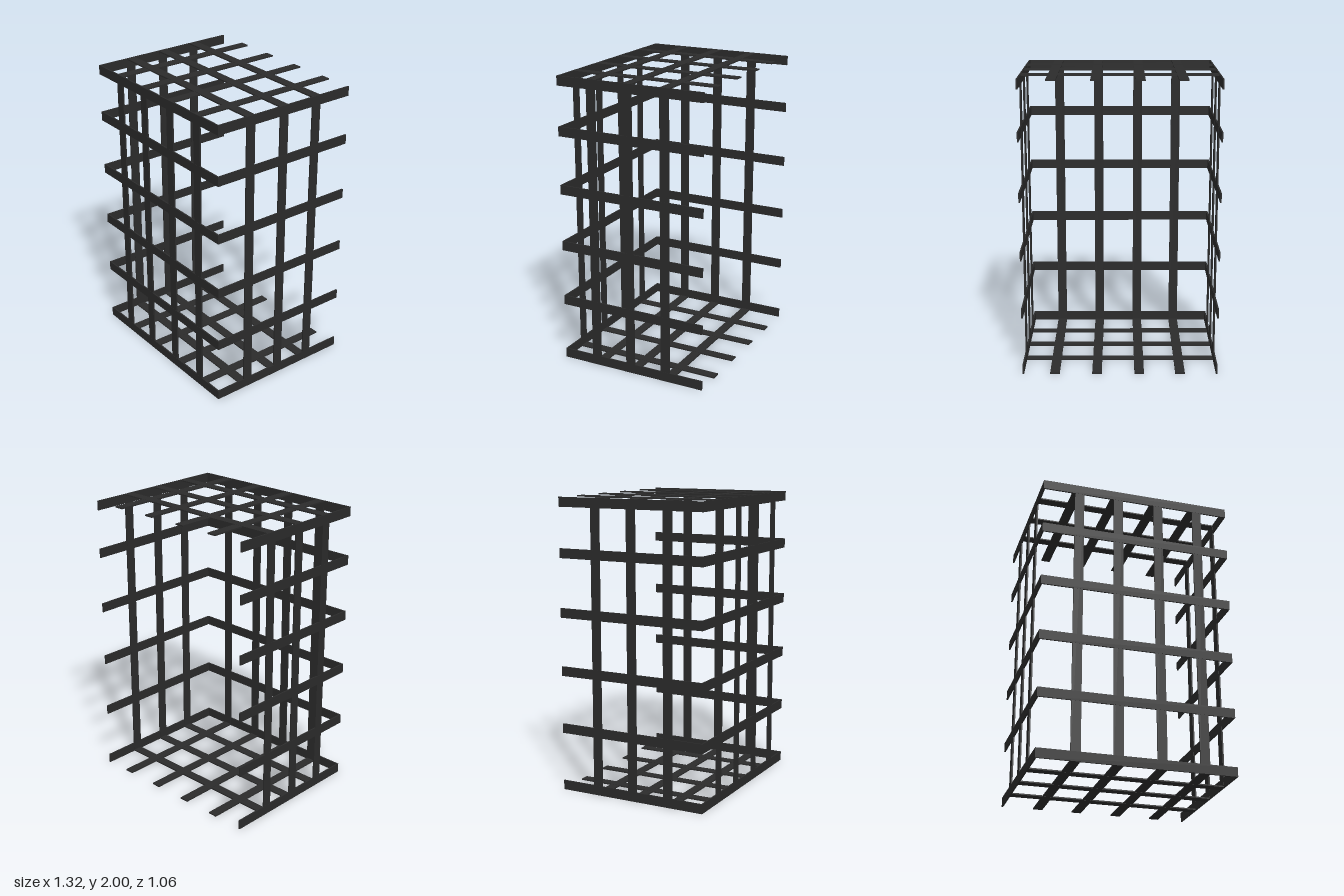
import * as THREE from 'three';

const X = 0.66, Z = 0.53, H = 2; // half width, half depth, height
const W = 0.065, T = 0.01; // flat bar width and thickness
const GAP = 0.001; // upright bars sit a hair inside the bands

export function createModel() {
  const model = new THREE.Group();
  const mat = new THREE.MeshStandardMaterial({ color: 0x2b2b2b });

  // Box given by its minimum and maximum corners
  const bar = (group, name, min, max) => {
    const size = max.map((v, i) => v - min[i]);
    const mesh = new THREE.Mesh(new THREE.BoxGeometry(...size), mat);
    mesh.position.set(...max.map((v, i) => (v + min[i]) / 2));
    mesh.name = name;
    group.add(mesh);
  };
  const part = (name) => {
    const g = new THREE.Group();
    g.name = name;
    model.add(g);
    return g;
  };

  // Horizontal bands: front and two sides, open at the back
  for (const y of [W / 2, 0.434, 0.832, 1.23, 1.63, H - W / 2]) {
    const g = part('horizontalBand');
    const lo = y - W / 2, hi = y + W / 2;
    bar(g, 'bandFront', [-X, lo, Z - T], [X, hi, Z]);
    bar(g, 'bandLeft', [X - T, lo, -Z], [X, hi, Z - T]);
    bar(g, 'bandRight', [-X, lo, -Z], [-X + T, hi, Z - T]);
  }

  // Lengthwise strips: floor, front upright and roof
  for (const x of [-0.407, -0.13, 0.156, 0.441]) {
    const g = part('lengthwiseStrip');
    const lo = x - W / 2, hi = x + W / 2, f = Z - GAP;
    bar(g, 'frontUpright', [lo, GAP, f - T], [hi, H - GAP, f]);
    bar(g, 'floorStrip', [lo, GAP, -Z], [hi, T, f - T]);
    bar(g, 'roofStrip', [lo, H - T, -Z], [hi, H - GAP, f - T]);
  }

  // Crosswise hoops: two side uprights joined across floor and roof
  for (const z of [-0.255, 0.011, 0.277]) {
    const g = part('crosswiseHoop');
    const lo = z - W / 2, hi = z + W / 2, s = X - GAP;
    bar(g, 'leftUpright', [s - T, GAP, lo], [s, H - GAP, hi]);
    bar(g, 'rightUpright', [-s, GAP, lo], [-s + T, H - GAP, hi]);
    bar(g, 'floorCrossbar', [-s + T, 0, lo], [s - T, T - GAP, hi]);
    bar(g, 'roofCrossbar', [-s + T, H - T + GAP, lo], [s - T, H, hi]);
  }

  return model;
}
